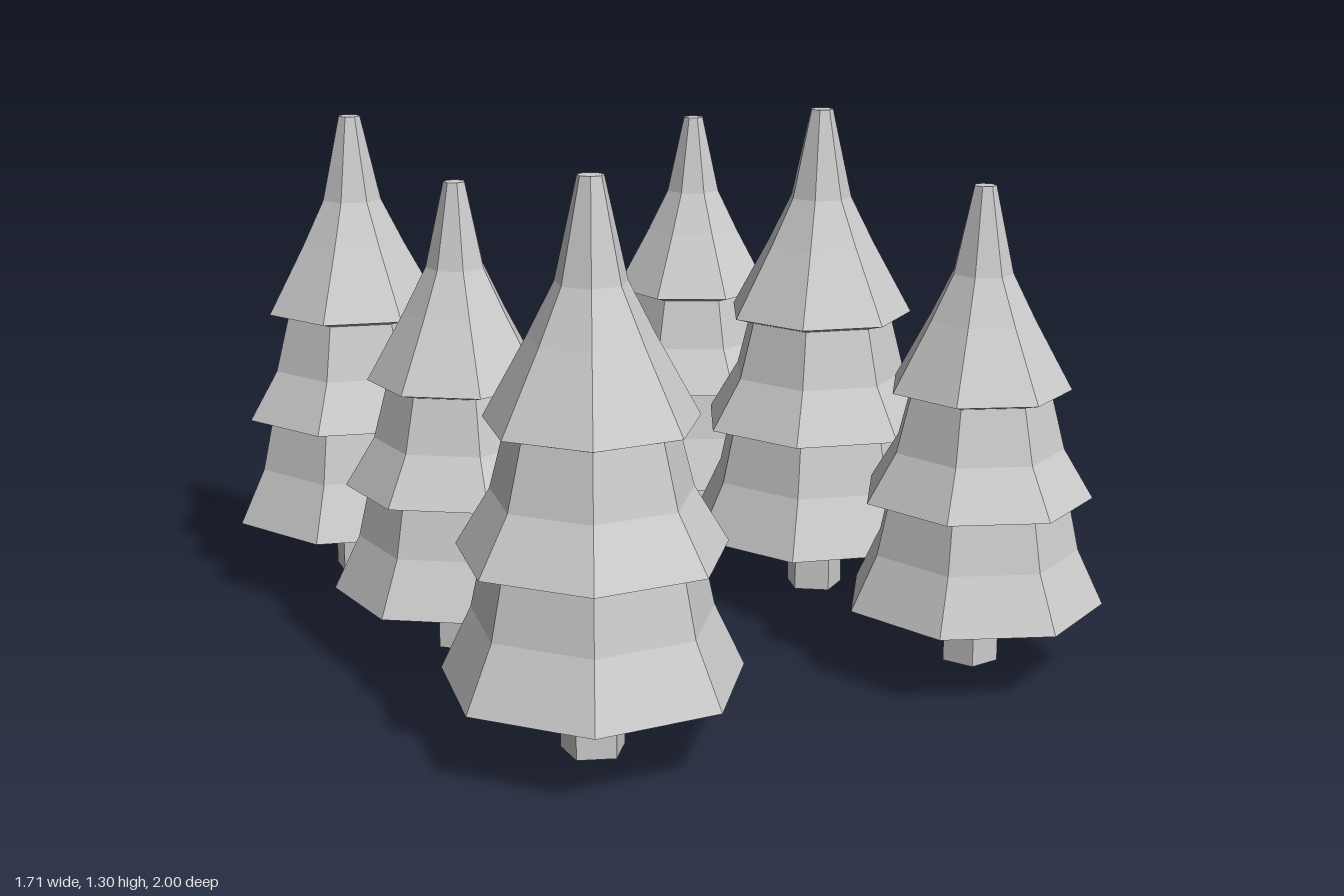
import * as THREE from 'three';

// Foliage outline [radius, height], bottom to top: three flared tiers
const PROFILE = [
  [0, 0.17], [0.352, 0.17], [0.281, 0.32], [0.252, 0.453],
  [0.313, 0.467], [0.233, 0.6], [0.195, 0.748],
  [0.247, 0.763], [0.144, 0.95], [0.082, 1.073], [0.03, 1.305], [0, 1.305],
].map(([r, y]) => new THREE.Vector2(r, y));

// Placement of each tree: x, base height, z, scale, turn in degrees
const TREES = [
  ['frontRightTree', -0.51, 0, 0.675, 1, 230],
  ['middleRightTree', -0.51, 0.028, -0.025, 0.89, -10.8],
  ['backRightTree', -0.51, 0.037, -0.684, 0.943, 9],
  ['frontLeftTree', 0.53, 0.028, 0.675, 0.897, 259],
  ['middleLeftTree', 0.53, 0.01, -0.025, 0.985, 215],
  ['backLeftTree', 0.53, 0.028, -0.684, 0.895, 252],
];

export function createModel() {
  const model = new THREE.Group();
  model.name = 'treeGrove';
  const material = new THREE.MeshStandardMaterial({ color: 0xcccccc, flatShading: true });

  // Seven-sided foliage and five-sided trunk, shared by all trees
  const foliageGeometry = new THREE.LatheGeometry(PROFILE, 7);
  const trunkGeometry = new THREE.CylinderGeometry(0.077, 0.077, 0.18, 5);
  trunkGeometry.translate(0, 0.09, 0);

  for (const [name, x, y, z, scale, turn] of TREES) {
    const tree = new THREE.Group();
    tree.name = name;
    const foliage = new THREE.Mesh(foliageGeometry, material);
    foliage.name = 'foliage';
    const trunk = new THREE.Mesh(trunkGeometry, material);
    trunk.name = 'trunk';
    tree.add(foliage, trunk);
    tree.position.set(x, y, z);
    tree.scale.setScalar(scale);
    tree.rotation.y = THREE.MathUtils.degToRad(turn);
    model.add(tree);
  }
  return model;
}
